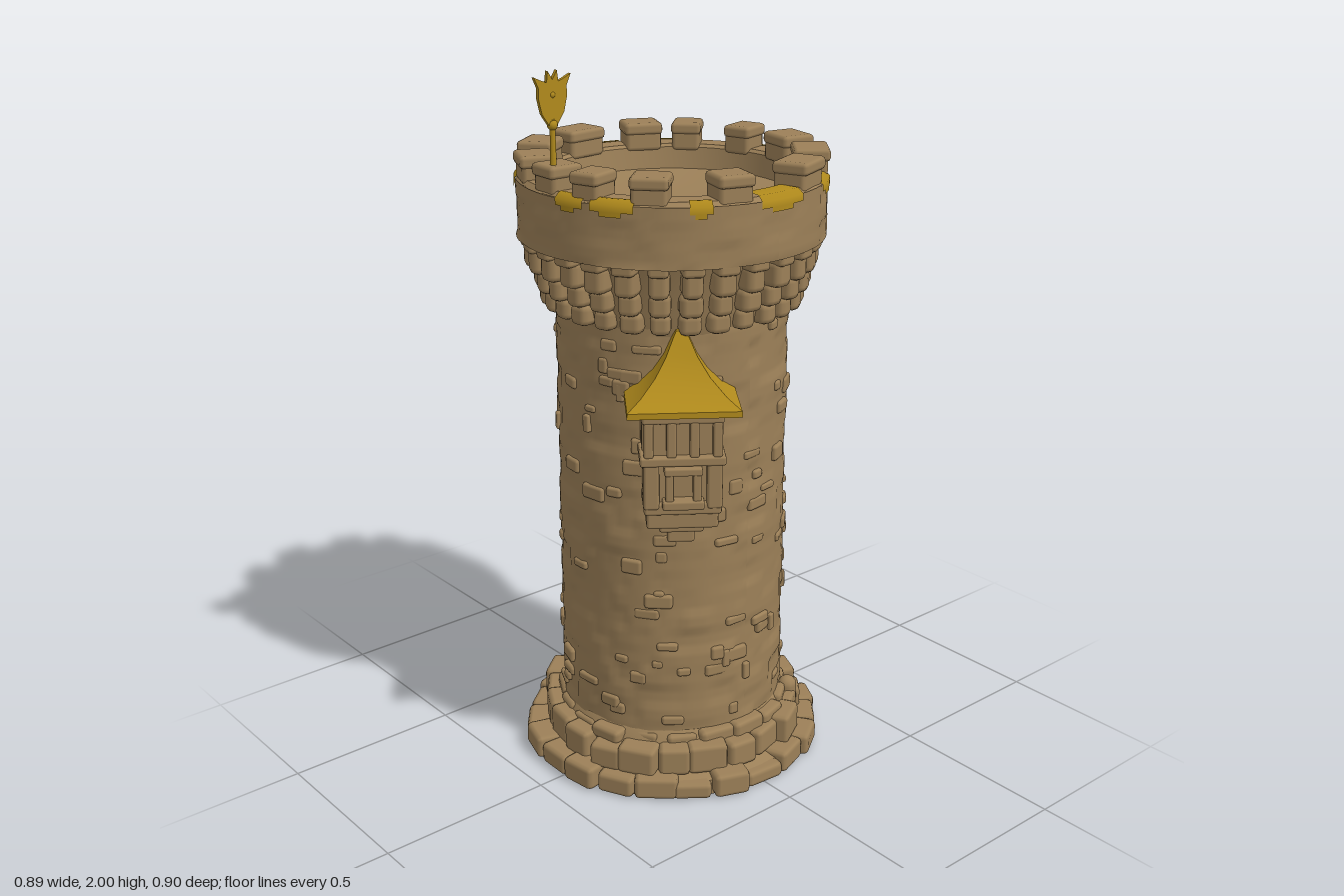
import * as THREE from 'three';
import { toCreasedNormals } from 'three/addons/utils/BufferGeometryUtils.js';
import { RoundedBoxGeometry } from 'three/addons/geometries/RoundedBoxGeometry.js';

const stone = new THREE.MeshStandardMaterial({ color: 0x9c8058 });
stone.name = 'stone';
const gold = new THREE.MeshStandardMaterial({ color: 0xb08a1c, side: THREE.DoubleSide });
gold.name = 'gold';

const DEG = Math.PI / 180;
let seed = 7;
const rand = () => (seed = (seed * 16807) % 2147483647) / 2147483647;
const vary = (amount) => (rand() - 0.5) * 2 * amount;

function add(parent, name, geometry, material = stone) {
  const mesh = new THREE.Mesh(geometry, material);
  mesh.name = name;
  parent.add(mesh);
  return mesh;
}

function group(parent, name) {
  const g = new THREE.Group();
  g.name = name;
  parent.add(g);
  return g;
}

const lathe = (pts, segments, start = 0, length = Math.PI * 2) =>
  new THREE.LatheGeometry(pts.map(([x, y]) => new THREE.Vector2(x, y)), segments, start, length);

// Rounded block facing outward on a ring; angle 0 is the front, outer is the radius of its face
function ringBlock(parent, name, w, h, d, angle, outer, y, round = 0.012, yaw = 0) {
  const r = Math.min(round, w / 3, h / 3, d / 3);
  const mesh = add(parent, name, new RoundedBoxGeometry(w, h, d, 1, r));
  mesh.position.set(Math.sin(angle) * (outer - d / 2), y, Math.cos(angle) * (outer - d / 2));
  mesh.rotation.y = angle + yaw;
  return mesh;
}

// Cylindrical wall whose stones stand at slightly different depths
function roughWall(radius, y0, y1, columns, rows, depth) {
  const geo = new THREE.CylinderGeometry(radius, radius, y1 - y0, columns * 5, rows * 4, true);
  const offsets = Array.from({ length: columns * (rows + 1) }, () => vary(depth));
  const p = geo.attributes.position;
  for (let i = 0; i < p.count; i++) {
    const column = i % (columns * 5 + 1), row = Math.floor(i / (columns * 5 + 1) / 4);
    const shifted = Math.floor((column + (row % 2) * 2) / 5) % columns;
    const k = 1 + offsets[row * columns + shifted] / radius;
    p.setXYZ(i, p.getX(i) * k, p.getY(i) + (y0 + y1) / 2, p.getZ(i) * k);
  }
  geo.computeVertexNormals();
  return geo;
}

function buildFoot(tower) {
  const foot = group(tower, 'foot');
  add(foot, 'footCore', toCreasedNormals(lathe(
    [[0, 0], [0.4, 0], [0.4, 0.045], [0.355, 0.06], [0.35, 0.12], [0.315, 0.17]], 44), 0.6));
  const tiers = [
    { n: 23, y: 0, h: 0.058, outer: 0.43, w: 0.112 },
    { n: 23, y: 0.055, h: 0.08, outer: 0.382, w: 0.1 },
    { n: 20, y: 0.12, h: 0.04, outer: 0.345, w: 0.1 },
  ];
  tiers.forEach(({ n, y, h, outer, w }, t) => {
    for (let i = 0; i < n; i++) {
      const hh = h + vary(0.012);
      ringBlock(foot, 'footStone', w + vary(0.015), hh, 0.12, ((i + t * 0.5) / n) * Math.PI * 2,
        outer + vary(0.014), y + hh / 2, 0.014, vary(0.14));
    }
  });
  // Small arched stone set into the foot
  const arch = add(foot, 'archStone', new THREE.CapsuleGeometry(0.028, 0.06, 4, 10));
  arch.position.set(0.345 * Math.sin(45 * DEG), 0.12, 0.345 * Math.cos(45 * DEG));
}

function buildShaft(tower) {
  const shaft = group(tower, 'shaft');
  add(shaft, 'shaftWall', roughWall(0.32, 0.12, 1.4, 26, 22, 0.0035));
  for (let i = 0; i < 110; i++) {
    ringBlock(shaft, 'raisedStone', 0.03 + rand() * 0.05, 0.018 + rand() * 0.028, 0.03,
      rand() * Math.PI * 2, 0.325 + rand() * 0.006, 0.2 + rand() * 1.12, 0.009, vary(0.1));
  }
  // Narrow upright stones
  for (let i = 0; i < 14; i++) {
    ringBlock(shaft, 'uprightStone', 0.022, 0.05, 0.03, i * 2.4, 0.331, 0.32 + (i * 0.37) % 0.95, 0.005);
  }
}

function buildCrown(tower) {
  const crown = group(tower, 'crown');
  // Flaring wall and its ring of stepped corbels
  add(crown, 'flare', lathe([[0.318, 1.33], [0.335, 1.4], [0.35, 1.47], [0.375, 1.54]], 56));
  const steps = [[1.37, 0.06, 0.358], [1.425, 0.065, 0.379], [1.485, 0.075, 0.4], [1.525, 0.035, 0.412]];
  const count = 28;
  for (let i = 0; i < count; i++) {
    const a = (i + 0.5) / count * Math.PI * 2;
    for (const [y, h, outer] of steps) {
      ringBlock(crown, 'corbel', 0.058 + vary(0.004), h, 0.08, a, outer + vary(0.004), y, 0.018);
    }
  }
  // Parapet with a dished floor inside
  add(crown, 'parapetUnderside', lathe([[0.345, 1.525], [0.4, 1.528], [0.417, 1.535]], 64));
  add(crown, 'parapetWall', roughWall(0.418, 1.533, 1.692, 24, 3, 0.003));
  add(crown, 'parapetTop', toCreasedNormals(lathe(
    [[0.418, 1.69], [0.405, 1.703], [0.342, 1.703], [0.332, 1.695], [0.322, 1.635], [0.2, 1.62], [0, 1.61]], 64), 0.6));
  // Merlons: angle in degrees and width
  const merlons = [[-174, 0.13], [154, 0.11], [133, 0.085], [106, 0.085], [79, 0.115], [50, 0.13], [22, 0.13],
    [-17, 0.1], [-48, 0.1], [-72, 0.085], [-92, 0.095], [-115, 0.115], [-145, 0.12]];
  for (const [deg, w] of merlons) {
    ringBlock(crown, 'merlon', w * 0.94, 0.06, 0.09, deg * DEG, 0.413, 1.715, 0.012);
    ringBlock(crown, 'merlonCap', w, 0.034, 0.1, deg * DEG, 0.42, 1.748, 0.011);
  }
  // Worn gilding along the parapet edge: centre and half width in degrees
  const patches = [[2, 10], [36, 8], [64, 9], [98, 9], [144, 9], [170, 8], [-128, 8], [-78, 6], [-61, 8], [-30, 4], [-158, 5]];
  for (const [deg, half] of patches) {
    const inner = half > 9 ? 0.35 : 0.398;
    add(crown, 'gilding', lathe([[0.4225, 1.674], [0.4225, 1.692], [0.406, 1.706], [inner, 1.706]],
      8, (deg - half) * DEG, half * 2 * DEG), gold);
    add(crown, 'gildingDrip', lathe([[0.4225, 1.662], [0.4225, 1.675]],
      5, (deg - half * 0.55) * DEG, half * DEG), gold);
  }
}

function buildOriel(tower) {
  const oriel = group(tower, 'oriel');
  const a = Math.atan2(-0.59, 0.81);
  oriel.position.set(Math.sin(a) * 0.325, 0, Math.cos(a) * 0.325);
  oriel.rotation.y = a;
  const block = (name, w, h, d, x, y, z) =>
    add(oriel, name, new RoundedBoxGeometry(w, h, d, 1, Math.min(0.008, w / 4, h / 4, d / 4))).position.set(x, y, z);

  // Core, ledges and the stepped bracket beneath
  block('orielCore', 0.18, 0.3, 0.17, 0, 1.02, -0.005);
  block('topLedge', 0.215, 0.035, 0.2, 0, 1.145, 0);
  block('middleLedge', 0.225, 0.026, 0.205, 0, 1.025, 0);
  block('bottomLedge', 0.205, 0.035, 0.19, 0, 0.89, 0);
  block('bracketUpper', 0.19, 0.05, 0.16, 0, 0.852, 0);
  block('bracketMiddle', 0.12, 0.04, 0.09, 0, 0.82, 0);
  block('bracketLower', 0.075, 0.055, 0.05, 0, 0.79, 0);
  // Posts around the window recesses on the three open sides
  for (const x of [-0.09, -0.03, 0.03, 0.09]) block('frontPost', 0.026, 0.1, 0.03, x, 1.085, 0.085);
  for (const side of [-1, 1]) {
    for (const z of [-0.02, 0.035]) block('sidePost', 0.03, 0.1, 0.026, side * 0.09, 1.085, z);
    block('cornerPost', 0.042, 0.13, 0.042, side * 0.083, 0.955, 0.078);
    block('windowJamb', 0.022, 0.105, 0.04, side * 0.036, 0.955, 0.09);
    block('sidePanel', 0.03, 0.07, 0.06, side * 0.088, 0.955, 0.01);
  }
  block('windowLintel', 0.1, 0.022, 0.045, 0, 1.0, 0.09);
  block('windowSill', 0.11, 0.026, 0.05, 0, 0.907, 0.09);

  // Four-sided roof with a sweeping curve
  const roof = toCreasedNormals(lathe([[0, 1.168], [0.208, 1.162], [0.207, 1.178], [0.155, 1.204],
    [0.1, 1.244], [0.058, 1.29], [0.03, 1.335], [0.018, 1.352], [0, 1.355]], 4), 0.6);
  add(oriel, 'orielRoof', roof, gold).rotation.y = Math.PI / 4;
}

function buildFinial(tower) {
  const finial = group(tower, 'finial');
  finial.position.set(-0.393, 0, 0.005);
  add(finial, 'pole', new THREE.CylinderGeometry(0.007, 0.01, 0.2, 10), gold).position.y = 1.78;
  add(finial, 'poleCollar', new THREE.SphereGeometry(0.014, 12, 8), gold).position.y = 1.865;

  // Flat shield-shaped vane with pointed horns
  const half = [[0.013, 1.865], [0.034, 1.895], [0.044, 1.935], [0.043, 1.96], [0.056, 1.988],
    [0.034, 1.978], [0.018, 1.972], [0.014, 2.0]];
  const outline = [...half, [0, 1.978], ...half.map(([x, y]) => [-x, y]).reverse()];
  const vane = add(finial, 'vane', new THREE.ExtrudeGeometry(
    new THREE.Shape(outline.map(([x, y]) => new THREE.Vector2(x, y))), { depth: 0.01, bevelEnabled: false }), gold);
  vane.position.z = -0.005;
  const ring = add(finial, 'vaneRing', new THREE.TorusGeometry(0.017, 0.005, 8, 18), gold);
  ring.position.y = 1.94;
  add(finial, 'vaneBoss', new THREE.SphereGeometry(0.009, 10, 8), gold).position.y = 1.94;
}

export function createModel() {
  const model = new THREE.Group();
  model.name = 'roundTower';
  const tower = group(model, 'tower');
  tower.position.set(0.005, 0, -0.02);
  [buildFoot, buildShaft, buildCrown, buildOriel, buildFinial].forEach((build) => build(tower));
  return model;
}
